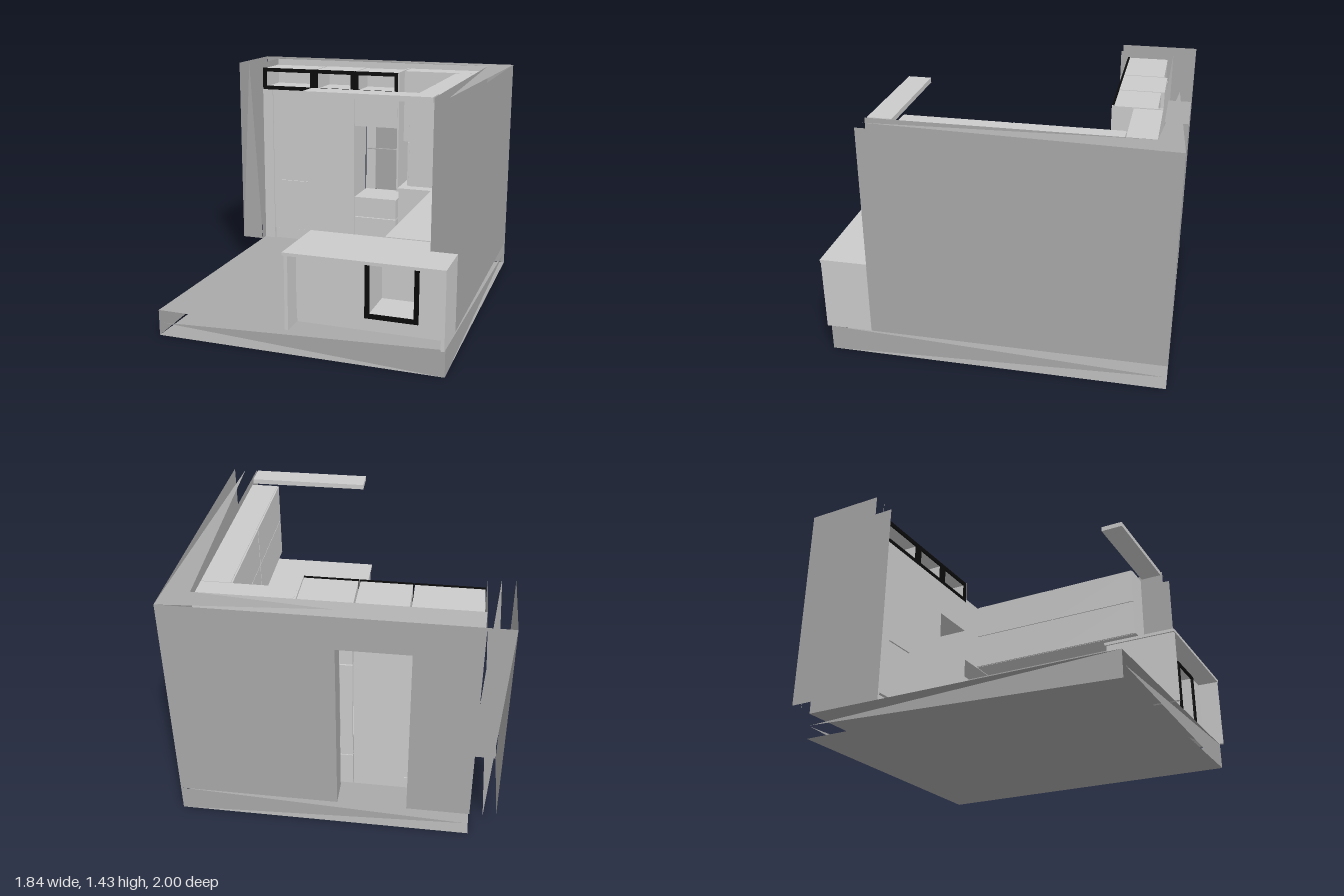
import * as THREE from 'three';

export function createModel() {
  const root = new THREE.Group();
  root.name = 'kitchen';

  const mat = (name, color) => {
    const m = new THREE.MeshStandardMaterial({ color, side: THREE.DoubleSide });
    m.name = name;
    return m;
  };
  const grey = mat('wall grey', 0xa9a9a9);
  const pale = mat('cabinet pale grey', 0xcccccc);
  const black = mat('frame black', 0x0a0a0a);

  const add = (name, geometry, material) => {
    const mesh = new THREE.Mesh(geometry, material);
    mesh.name = name;
    root.add(mesh);
    return mesh;
  };
  // Box from its limits on each axis
  const box = (name, m, x0, x1, y0, y1, z0, z1) =>
    add(name, new THREE.BoxGeometry(x1 - x0, y1 - y0, z1 - z0)
      .translate((x0 + x1) / 2, (y0 + y1) / 2, (z0 + z1) / 2), m);
  // Flat convex sheet from its corners
  const sheet = (name, m, ...pts) => {
    const tris = [];
    for (let i = 1; i < pts.length - 1; i++) tris.push(...pts[0], ...pts[i], ...pts[i + 1]);
    const g = new THREE.BufferGeometry();
    g.setAttribute('position', new THREE.Float32BufferAttribute(tris, 3));
    g.computeVertexNormals();
    return add(name, g, m);
  };
  const sheetX = (name, m, x, y0, y1, z0, z1) =>
    sheet(name, m, [x, y0, z1], [x, y0, z0], [x, y1, z0], [x, y1, z1]);
  const sheetY = (name, m, y, x0, x1, z0, z1) =>
    sheet(name, m, [x0, y, z1], [x1, y, z1], [x1, y, z0], [x0, y, z0]);
  const sheetZ = (name, m, z, x0, x1, y0, y1) =>
    sheet(name, m, [x0, y0, z], [x1, y0, z], [x1, y1, z], [x0, y1, z]);
  // Cabinet open at the front
  const openCabinet = (name, x0, x1, y0, y1, z0, z1, t = 0.012) => {
    box(name + 'Left', pale, x0, x0 + t, y0, y1, z0, z1);
    box(name + 'Right', pale, x1 - t, x1, y0, y1, z0, z1);
    box(name + 'Bottom', pale, x0 + t, x1 - t, y0, y0 + t, z0, z1);
    box(name + 'Top', pale, x0 + t, x1 - t, y1 - t, y1, z0, z1);
    box(name + 'Back', pale, x0 + t, x1 - t, y0 + t, y1 - t, z0, z0 + t);
  };
  // Rectangular door frame around an opening
  const frame = (name, x0, x1, y0, y1, z, t = 0.025) => {
    const s = new THREE.Shape();
    s.moveTo(x0, y0).lineTo(x1, y0).lineTo(x1, y1).lineTo(x0, y1).closePath();
    const h = new THREE.Path();
    h.moveTo(x0 + t, y0 + t).lineTo(x0 + t, y1 - t).lineTo(x1 - t, y1 - t).lineTo(x1 - t, y0 + t).closePath();
    s.holes.push(h);
    add(name, new THREE.ExtrudeGeometry(s, { depth: 0.012, bevelEnabled: false }).translate(0, 0, z), black);
  };

  const F = 0.155, H = 1.43; // floor level and wall top

  // Floor: two sheets with wedge-shaped edges
  sheetY('floorTop', grey, F, -0.77, 0.92, -1, 0.97);
  sheetY('floorBottom', grey, 0, -0.77, 0.92, -1, 0.97);
  for (const z of [-1, 0.97])
    sheet('floorEdge', grey, [0.92, 0, z], [0.92, F, z], [-0.75, 0.08, z]);
  for (const x of [-0.77, 0.92])
    sheet('floorSide', grey, [x, 0, 0.97], [x, F, 0.97], [x, 0.08, -0.99]);

  // Hollow walls, with a doorway in the back one
  const doorL = -0.41, doorR = -0.01, doorTop = 1.23;
  for (const [z, m, end] of [[-1, grey, 0.92], [-0.855, pale, 0.77]]) {
    sheetZ('backWall', m, z, -0.77, doorL, F, H);
    sheetZ('backWall', m, z, doorR, end, F, H);
    sheetZ('doorHeader', m, z, doorL, doorR, doorTop, H);
  }
  sheetX('doorJamb', grey, doorL, F, doorTop, -1, -0.855);
  sheetX('doorJamb', grey, doorR, F, doorTop, -1, -0.855);
  sheetY('doorLintel', grey, doorTop, doorL, doorR, -1, -0.855);
  sheetX('rightWallOuter', grey, 0.92, F, H, -1, 0.72);
  sheetX('rightWallInner', grey, 0.77, F, H, -0.855, 0.72);
  sheet('backWallCap', grey, [0.92, H, -1], [0, H, -0.93], [0.77, H, -0.855]);
  sheet('rightWallCap', grey, [0.92, H, -1], [0.77, H, -0.855], [0.845, H, 0.71]);

  // Short left wall with tapered end faces
  sheetX('leftWallOuter', grey, -0.92, F, H, -1, -0.51);
  sheetX('leftWallInner', grey, -0.77, F, H, -1, -0.51);
  sheet('leftWallFront', grey, [-0.92, F, -0.51], [-0.77, F, -0.51], [-0.845, H, -0.51]);
  sheet('leftWallBack', grey, [-0.92, H, -1], [-0.845, F, -1], [-0.77, H, -1]);

  // Tall cabinets on the left
  box('tallFiller', pale, -0.765, -0.692, F, 1.25, -0.83, -0.56);
  box('tallCabinet', pale, -0.688, -0.38, 0.235, 1.25, -0.83, -0.56);
  box('tallPlinth', pale, -0.688, -0.38, F, 0.23, -0.83, -0.575);
  box('tallDoor', pale, -0.38, -0.085, F, 1.25, -0.83, -0.56);
  box('tallHandle', pale, -0.64, -0.43, 0.588, 0.597, -0.56, -0.55);

  // Niche with a low base and a hood panel above
  box('nicheBaseDrawer', pale, -0.08, 0.22, 0.375, 0.515, -0.83, -0.56);
  box('nicheBase', pale, -0.08, 0.22, F, 0.37, -0.83, -0.56);
  box('nicheHood', pale, -0.08, 0.22, 1.02, 1.25, -0.83, -0.56);
  sheetZ('nicheBack', grey, -0.835, -0.01, 0.22, 0.515, 1.02);
  box('nicheStrip', pale, -0.08, -0.01, 0.515, 1.02, -0.84, -0.83);
  box('nicheShelf', grey, -0.065, 0.22, 0.812, 0.818, -0.835, -0.81);

  // Row of three framed top cabinets
  for (const [x0, x1, z0] of [[-0.76, -0.385, -0.82], [-0.375, -0.09, -0.84], [-0.08, 0.22, -0.82]]) {
    openCabinet('topCabinet', x0, x1, 1.25, 1.39, z0, -0.57);
    frame('topCabinetFrame', x0 - 0.003, x1 + 0.003, 1.245, 1.395, -0.57);
  }
  box('tallEndPanel', pale, 0.221, 0.233, 0.6, 1.4, -0.85, -0.56);

  // Back and right wall cabinets with door fronts
  box('backWallCabinet', pale, 0.235, 0.765, 0.91, 1.395, -0.85, -0.685);
  box('rightWallCabinet', pale, 0.6, 0.765, 0.91, 1.395, -0.68, 0.56);
  for (let i = 0; i < 2; i++)
    for (let j = 0; j < 2; j++) {
      const z = -0.675 + i * 0.62, y = 0.912 + j * 0.243;
      box('rightWallDoor', pale, 0.59, 0.599, y, y + 0.239, z, z + 0.612);
    }
  box('peninsulaSoffit', pale, 0.035, 0.76, 1.4, 1.43, 0.57, 0.71);

  // Base cabinets along the back and the right wall
  box('backBase', pale, 0.235, 0.765, 0.235, 0.58, -0.85, -0.57);
  box('backPlinth', pale, 0.235, 0.765, F, 0.235, -0.85, -0.61);
  box('rightBase', pale, 0.49, 0.765, 0.235, 0.58, -0.565, 0.57);
  box('rightPlinth', pale, 0.53, 0.765, F, 0.235, -0.565, 0.57);
  box('backCounter', pale, 0.225, 0.768, 0.582, 0.605, -0.853, -0.55);
  box('rightCounter', pale, 0.468, 0.768, 0.582, 0.605, -0.55, 0.56);

  // Peninsula with end panels, overhanging top and framed cabinet
  box('peninsulaTop', pale, 0.02, 0.768, 0.582, 0.6, 0.56, 0.72);
  box('peninsulaTop', pale, 0.02, 0.92, 0.582, 0.6, 0.72, 1);
  box('peninsulaLeftPanel', pale, 0.03, 0.05, F, 0.582, 0.57, 0.995);
  box('peninsulaRightPanel', pale, 0.9, 0.92, F, 0.582, 0.722, 0.995);
  box('peninsulaBody', pale, 0.05, 0.45, 0.235, 0.582, 0.58, 0.87);
  openCabinet('peninsulaCabinet', 0.452, 0.748, 0.235, 0.582, 0.58, 0.87);
  frame('peninsulaCabinetFrame', 0.45, 0.75, 0.235, 0.588, 0.87);
  box('peninsulaFiller', pale, 0.75, 0.9, 0.235, 0.582, 0.722, 0.87);
  box('peninsulaPlinth', pale, 0.05, 0.768, F, 0.234, 0.6, 0.86);
  box('peninsulaPlinth', pale, 0.768, 0.9, F, 0.234, 0.722, 0.86);

  return root;
}
